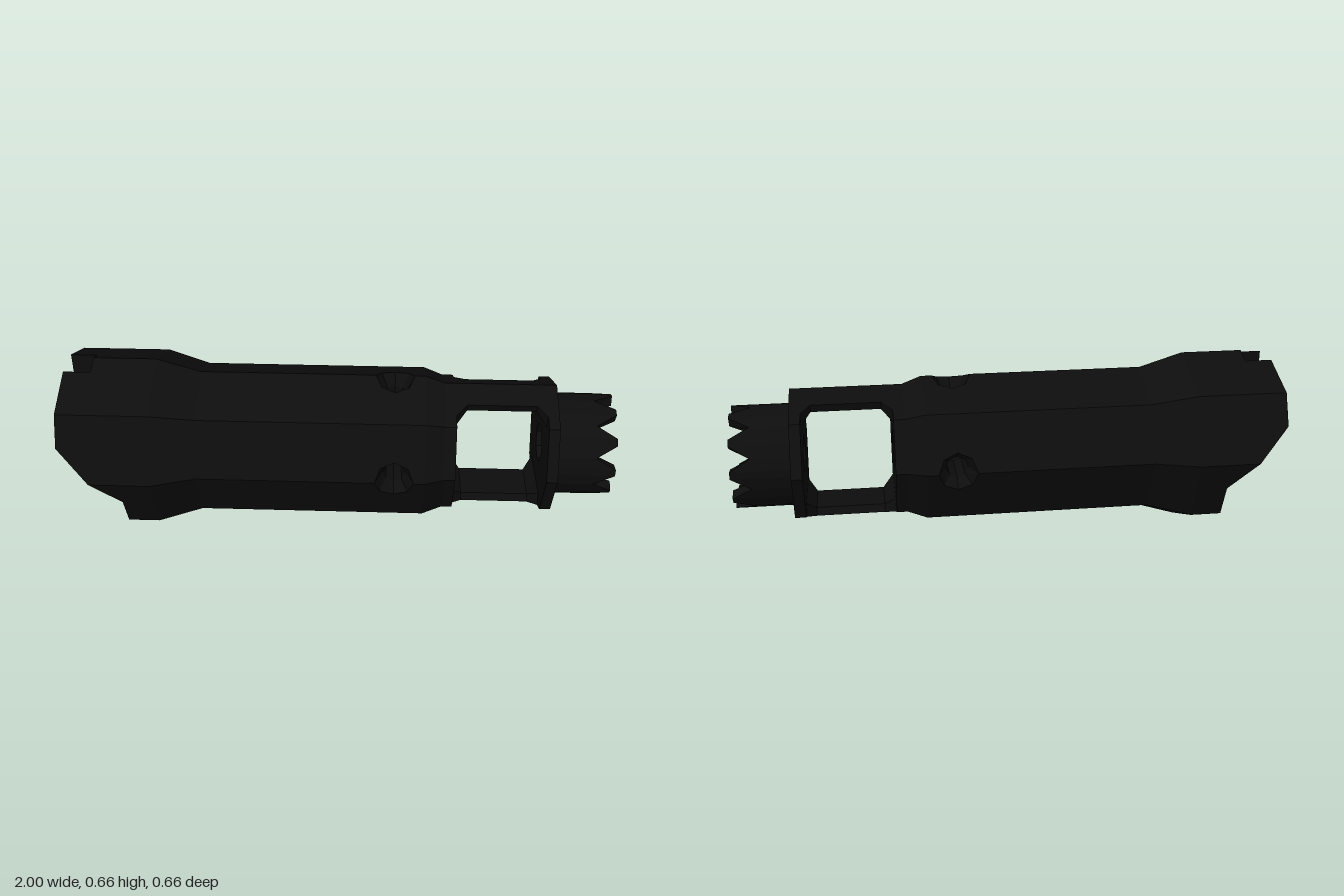
import * as THREE from 'three';

const CY = 0.33;                 // height of the long axis
const BORE = 0.073, BODY = 0.28, FLARE = 0.33, NECK = 0.2525;

const blackMetal = new THREE.MeshStandardMaterial({ color: 0x0d0d0d, side: THREE.DoubleSide });

// Ring of n points round the x axis, first one on top
const ring = (x, r, n = 8) => Array.from({ length: n }, (_, k) => {
  const a = (k / n) * Math.PI * 2;
  return [x, CY + r * Math.cos(a), r * Math.sin(a)];
});

// Flat-faced skin through closed rings; keep(k) can leave out faces
function loft(rings, keep = () => true) {
  const pos = [];
  for (let i = 0; i + 1 < rings.length; i++) {
    const a = rings[i], b = rings[i + 1], n = a.length;
    for (let k = 0; k < n; k++) {
      if (!keep(k)) continue;
      const m = (k + 1) % n;
      pos.push(...a[k], ...a[m], ...b[m], ...a[k], ...b[m], ...b[k]);
    }
  }
  const g = new THREE.BufferGeometry();
  g.setAttribute('position', new THREE.Float32BufferAttribute(pos, 3));
  g.computeVertexNormals();
  return g;
}

// Move every vertex by a rule and refresh flat normals
function remap(geometry, rule) {
  const g = geometry.index ? geometry.toNonIndexed() : geometry;
  const p = g.attributes.position;
  for (let i = 0; i < p.count; i++) p.setXYZ(i, ...rule(p.getX(i), p.getY(i), p.getZ(i)));
  g.computeVertexNormals();
  return g;
}

// Keep the part of a polygon where sign * (coordinate - limit) >= 0
function clip(poly, axis, limit, sign) {
  const out = [];
  poly.forEach((p, i) => {
    const q = poly[(i + 1) % poly.length];
    const dp = sign * (p[axis] - limit), dq = sign * (q[axis] - limit);
    if (dp >= 0) out.push(p);
    if (dp * dq < 0) {
      const t = dp / (dp - dq);
      out.push([p[0] + (q[0] - p[0]) * t, p[1] + (q[1] - p[1]) * t]);
    }
  });
  return out;
}

const shapeOf = (pts) => new THREE.Shape(pts.map(([x, y]) => new THREE.Vector2(x, y)));

export function createModel() {
  const model = new THREE.Group();
  const add = (name, geometry) => {
    const mesh = new THREE.Mesh(geometry, blackMetal);
    mesh.name = name;
    model.add(mesh);
  };

  // Eight-sided body, interrupted where the ports sit
  add('flaredBody', loft([
    ring(-0.785, BORE), ring(-0.785, FLARE), ring(-0.67, FLARE), ring(-0.51, BODY), ring(0.1, BODY),
  ]));
  add('bodyNeck', loft([
    ring(0.3, BODY), ring(0.31, BODY), ring(0.38, NECK), ring(0.42, NECK), ring(0.42, BORE),
  ]));
  add('boreRear', loft([ring(-0.785, BORE), ring(0.16, BORE)]));
  add('boreFloor', loft([ring(0.16, BORE), ring(0.24, BORE)], (k) => k === 3 || k === 4));
  add('boreFront', loft([ring(0.24, BORE), ring(0.42, BORE)]));

  // Body band round the ports: one folded patch for each ridge
  const half = BODY * Math.SQRT1_2 / 2, fold = Math.tan(Math.PI / 8);
  const portX = 0.2, portR = 0.07;
  for (let k = 0; k < 8; k++) {
    const a = k * Math.PI / 4, hasPort = k === 0 || k === 2 || k === 6;
    const place = (x, t, h) => [
      x, CY + h * Math.cos(a) - t * Math.sin(a), h * Math.sin(a) + t * Math.cos(a)];
    for (const side of [1, -1]) {
      const pts = [[0.1, 0]];
      if (hasPort) {
        for (let j = 4; j >= 0; j--) {
          pts.push([portX + portR * Math.cos(j * Math.PI / 4), portR * Math.sin(j * Math.PI / 4)]);
        }
      }
      pts.push([0.3, 0], [0.3, half], [0.1, half]);
      add('portBand', remap(new THREE.ShapeGeometry(shapeOf(pts)),
        (x, t) => place(x, side * t, BODY - fold * t)));
    }
    if (!hasPort) continue;
    const circle = (r, height) => Array.from({ length: 8 }, (_, j) => {
      const t = r * Math.sin(j * Math.PI / 4);
      return place(portX + r * Math.cos(j * Math.PI / 4), t, height ?? BODY - fold * Math.abs(t));
    });
    add('countersunkPort', loft([circle(portR), circle(0.04, 0.21), circle(0.04, 0.05)]));
  }

  // Slanted rear lip: half sections, mirrored, with a slot between the two horns
  const slant = (y) => -0.785 - (y + 0.11) * 0.935;
  const outline = (r) => ring(0, r).slice(0, 5).map(([, y, z]) => [z, y - CY]);
  const halfRing = [...outline(FLARE), ...outline(BORE).reverse()];
  const halfDisc = clip(outline(FLARE), 0, 0.06, 1);
  const between = (poly, lo, hi) => clip(clip(poly, 1, lo, 1), 1, hi, -1);
  const strips = [
    ['rearLip', between(halfRing, -0.11, 0.013), slant, -0.785],
    ['rearLip', between(halfRing, 0.013, 1), () => -0.9, -0.785],
    ['rearHorn', between(halfDisc, 0.013, 0.12), slant, -0.9],
    ['rearHorn', between(halfDisc, 0.12, 1), () => -1, -0.9],
  ];
  for (const side of [1, -1]) {
    for (const [name, poly, back, front] of strips) {
      const g = new THREE.ExtrudeGeometry(shapeOf(poly), { depth: 1, bevelEnabled: false });
      add(name, remap(g, (z, y, c) => [c > 0.5 ? front : back(y), CY + y, side * z]));
    }
  }

  // Upper and lower bridges across the side windows, widening at both ends
  for (const up of [1, -1]) {
    const section = (x, w, under) => [
      [0, NECK], [w, NECK - fold * w], [w - 0.01, under], [-w + 0.01, under], [-w, NECK - fold * w],
    ].map(([z, y]) => [x, CY + up * y, z]);
    add('windowBridge', loft([
      section(0.42, 0.13, 0.15), section(0.46, 0.088, 0.187),
      section(0.71, 0.088, 0.187), section(0.745, 0.13, 0.15),
    ]));
  }

  // Front plate
  add('frontPlate', loft([
    ring(0.745, BORE), ring(0.745, NECK), ring(0.785, NECK), ring(0.785, BORE), ring(0.745, BORE),
  ]));

  // Crown of ten teeth, with a notch at the top
  const crown = (r, toothed) => {
    const pts = [];
    for (let k = 0; k < 10; k++) {
      for (const off of [-14, 0, 14]) {
        const a = THREE.MathUtils.degToRad(k * 36 + off);
        const x = !toothed ? 0.785 : off === 0 ? 0.927 : 1;
        pts.push([x, CY + r * Math.cos(a), r * Math.sin(a)]);
      }
    }
    return pts;
  };
  add('toothedCrown', loft([
    crown(0.188, false), crown(0.188, true), crown(0.15, true), crown(0.15, false),
  ]));

  return model;
}
